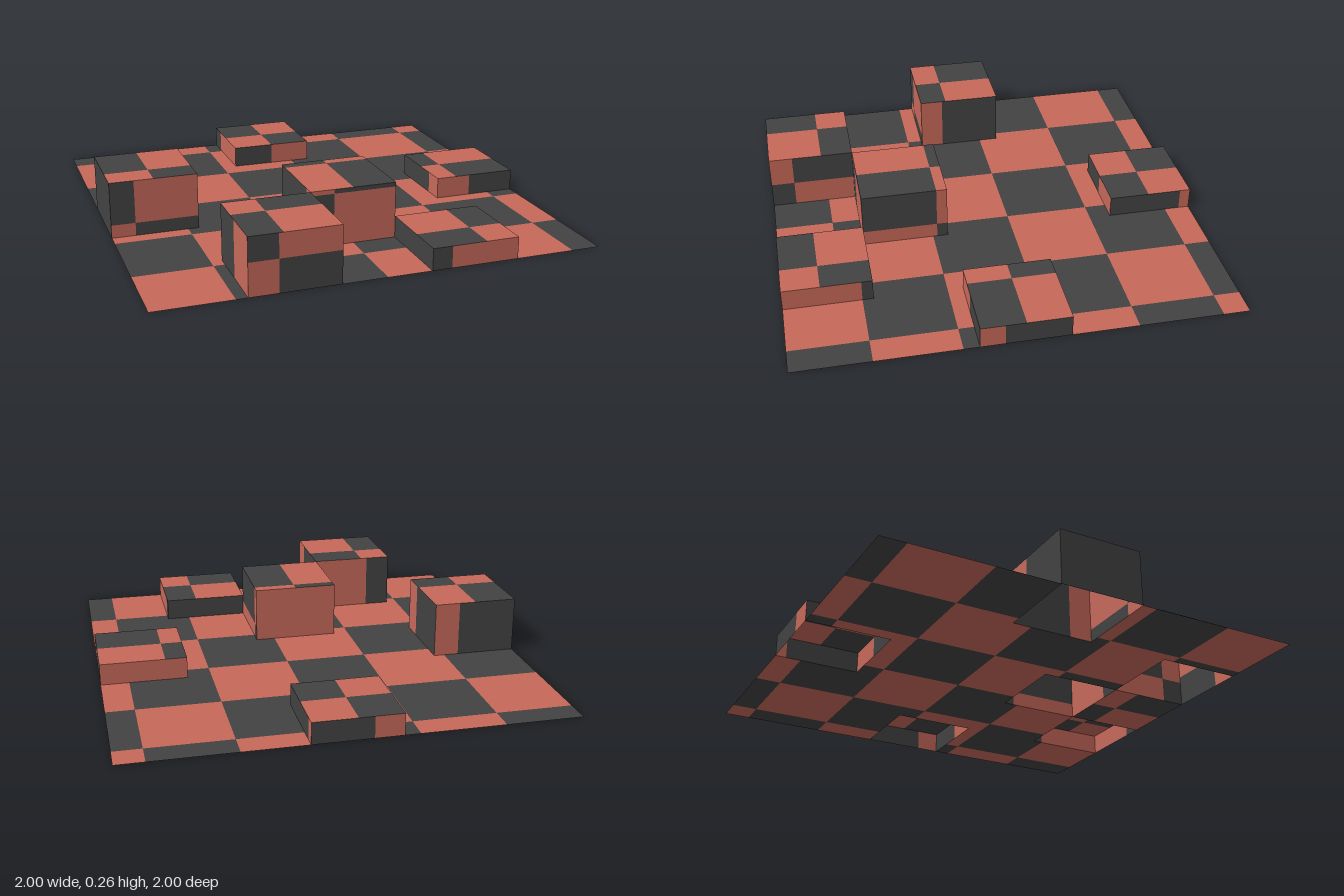
import * as THREE from 'three';

const TILE = 0.4;

export function createModel() {
  const red = new THREE.MeshStandardMaterial({ color: 0xc6695a, side: THREE.DoubleSide });
  red.name = 'brick red';
  const dark = new THREE.MeshStandardMaterial({ color: 0x424242, side: THREE.DoubleSide });
  dark.name = 'charcoal';

  // Collects checkered panels into one mesh with a group for each colour
  function makePart(name, build) {
    const points = [[], []];
    // us, vs: check boundaries; map: (u, v) to a 3D point; window: part of the panel to fill
    const panel = (map, flip, us, vs, firstDark, window = [-9, 9, -9, 9]) => {
      for (let i = 0; i < us.length - 1; i++) {
        for (let j = 0; j < vs.length - 1; j++) {
          const u0 = Math.max(us[i], window[0]), u1 = Math.min(us[i + 1], window[1]);
          const v0 = Math.max(vs[j], window[2]), v1 = Math.min(vs[j + 1], window[3]);
          if (u1 - u0 < 1e-6 || v1 - v0 < 1e-6) continue;
          const a = map(u0, v0), b = map(u1, v0), c = map(u1, v1), d = map(u0, v1);
          const isDark = ((i + j) % 2 === 0) === firstDark;
          points[isDark ? 1 : 0].push(...(flip ? [a, c, b, a, d, c] : [a, b, c, a, c, d]).flat());
        }
      }
    };
    build(panel);
    const geometry = new THREE.BufferGeometry();
    geometry.setAttribute('position', new THREE.Float32BufferAttribute([...points[0], ...points[1]], 3));
    geometry.addGroup(0, points[0].length / 3, 0);
    geometry.addGroup(points[0].length / 3, points[1].length / 3, 1);
    geometry.computeVertexNormals();
    const mesh = new THREE.Mesh(geometry, [red, dark]);
    mesh.name = name;
    return mesh;
  }

  // Each face: [first cut, second cut, is the lowest corner dark]; null means no cut
  const blocks = [
    { name: 'backLowBlock', x: -0.2, z: -1, h: 0.1, top: [0, -0.79, true],
      front: [0, null, true], right: [-0.95, null, false], back: [-0.07, null, false], left: [-0.9, null, true] },
    { name: 'rightTallBlock', x: -1, z: -0.2, h: 0.26, top: [-0.8, 0.07, true],
      front: [-0.89, 0.06, false], right: [0.09, null, true], back: [-0.72, null, true], left: [null, null, true] },
    { name: 'leftLowBlock', x: 0.6, z: -0.2, h: 0.1, top: [0.7, 0, true],
      front: [0.77, null, false], right: [0.09, null, true], back: [null, null, false], left: [0.1, null, true] },
    { name: 'centreTallBlock', x: -0.2, z: 0.2, h: 0.26, top: [0, 0.25, true],
      front: [-0.09, 0.24, true], right: [0.25, 0.07, true], back: [null, null, false], left: [0.55, null, true] },
    { name: 'frontTallBlock', x: -0.6, z: 0.6, h: 0.26, top: [-0.45, 0.75, false],
      front: [-0.47, 0.15, false], right: [0.89, 0.12, false], back: [-0.48, null, true], left: [0.8, null, true] },
    { name: 'frontLowBlock', x: 0.2, z: 0.6, h: 0.1, top: [0.45, 0.83, false],
      front: [0.29, null, true], right: [0.65, null, true], back: [null, null, true], left: [null, null, true] },
    // Flat tile let into the floor
    { name: 'entryTile', x: -0.2, z: 0.6, h: 0, top: [0, 0.73, false] },
  ];

  const cuts = (lo, cut, hi) => (cut === null ? [lo, hi] : [lo, cut, hi]);
  const group = new THREE.Group();
  group.name = 'checkeredCourse';

  // Floor, open beneath every block
  group.add(makePart('floor', (panel) => {
    const us = [-1, -0.65, -0.27, 0.11, 0.49, 0.87, 1];
    const vs = [-1, -0.88, -0.5, -0.11, 0.27, 0.65, 1];
    for (let i = 0; i < 5; i++) {
      for (let j = 0; j < 5; j++) {
        const x = -1 + i * TILE, z = -1 + j * TILE;
        if (blocks.some((b) => Math.abs(b.x - x) < 0.01 && Math.abs(b.z - z) < 0.01)) continue;
        panel((u, v) => [u, 0, v], true, us, vs, true, [x, x + TILE, z, z + TILE]);
      }
    }
  }));

  // Blocks: a top and four walls, hollow and open below
  for (const b of blocks) {
    const x1 = b.x + TILE, z1 = b.z + TILE;
    group.add(makePart(b.name, (panel) => {
      const [tu, tv, tDark] = b.top;
      panel((u, v) => [u, b.h, v], true, cuts(b.x, tu, x1), cuts(b.z, tv, z1), tDark);
      if (b.h === 0) return;
      const wall = ([cu, cv, isDark], lo, hi, flip, map) =>
        panel(map, flip, cuts(lo, cu, hi), cuts(0, cv, b.h), isDark);
      wall(b.front, b.x, x1, false, (u, v) => [u, v, z1]);
      wall(b.back, b.x, x1, true, (u, v) => [u, v, b.z]);
      wall(b.right, b.z, z1, true, (u, v) => [x1, v, u]);
      wall(b.left, b.z, z1, false, (u, v) => [b.x, v, u]);
    }));
  }
  return group;
}
